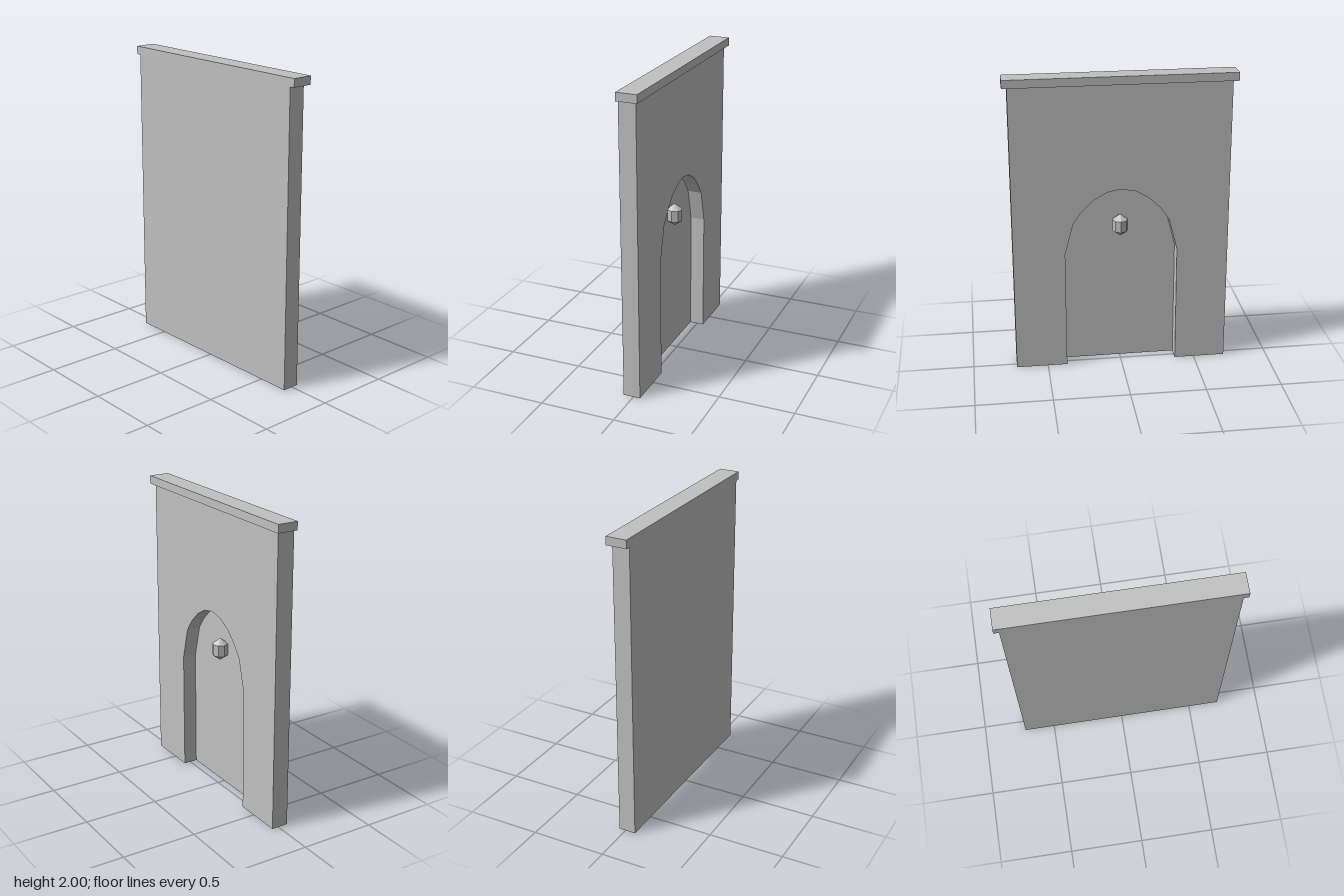
import * as THREE from 'three';

const FRONT = 0.068, BACK = -0.045, PANEL_BACK = 0.05;

// Right half of the arch outline, from the floor to the crown
const HALF_ARCH = [[0.37, 0], [0.37, 0.81], [0.314, 1.027], [0.255, 1.11], [0.18, 1.182], [0.093, 1.232]];
const ARCH = [
  ...HALF_ARCH,
  [0, 1.25],
  ...HALF_ARCH.map(([x, y]) => [-x, y]).reverse(),
].map(([x, y]) => new THREE.Vector2(x, y));

export function createModel() {
  const group = new THREE.Group();
  const stone = new THREE.MeshStandardMaterial({ color: 0xc0c0c0, flatShading: true });
  stone.name = 'grey stone';

  const add = (name, geometry) => {
    const mesh = new THREE.Mesh(geometry, stone);
    mesh.name = name;
    group.add(mesh);
    return mesh;
  };
  const slab = (points, z0, z1) =>
    new THREE.ExtrudeGeometry(new THREE.Shape(points), { depth: z1 - z0, bevelEnabled: false }).translate(0, 0, z0);

  // Wall with the arched opening cut up from its foot
  const wallOutline = [
    new THREE.Vector2(0.71, 0), new THREE.Vector2(0.71, 1.946),
    new THREE.Vector2(-0.71, 1.946), new THREE.Vector2(-0.71, 0),
    ...[...ARCH].reverse(),
  ];
  add('wall', slab(wallOutline, BACK, FRONT));

  // Thin panel closing the opening flush with the front, leaving a niche behind
  add('nichePanel', slab(ARCH, PANEL_BACK, FRONT));

  // Coping along the top, overhanging the sides and the back
  const coping = add('coping', new THREE.BoxGeometry(1.486, 0.054, 0.136));
  coping.position.y = 1.973;

  // Faceted knob inside the niche
  const knob = add('nicheKnob', new THREE.SphereGeometry(1, 8, 3));
  knob.scale.set(0.06, 0.076, 0.06);
  knob.position.set(0, 0.98, 0.015);

  return group;
}
